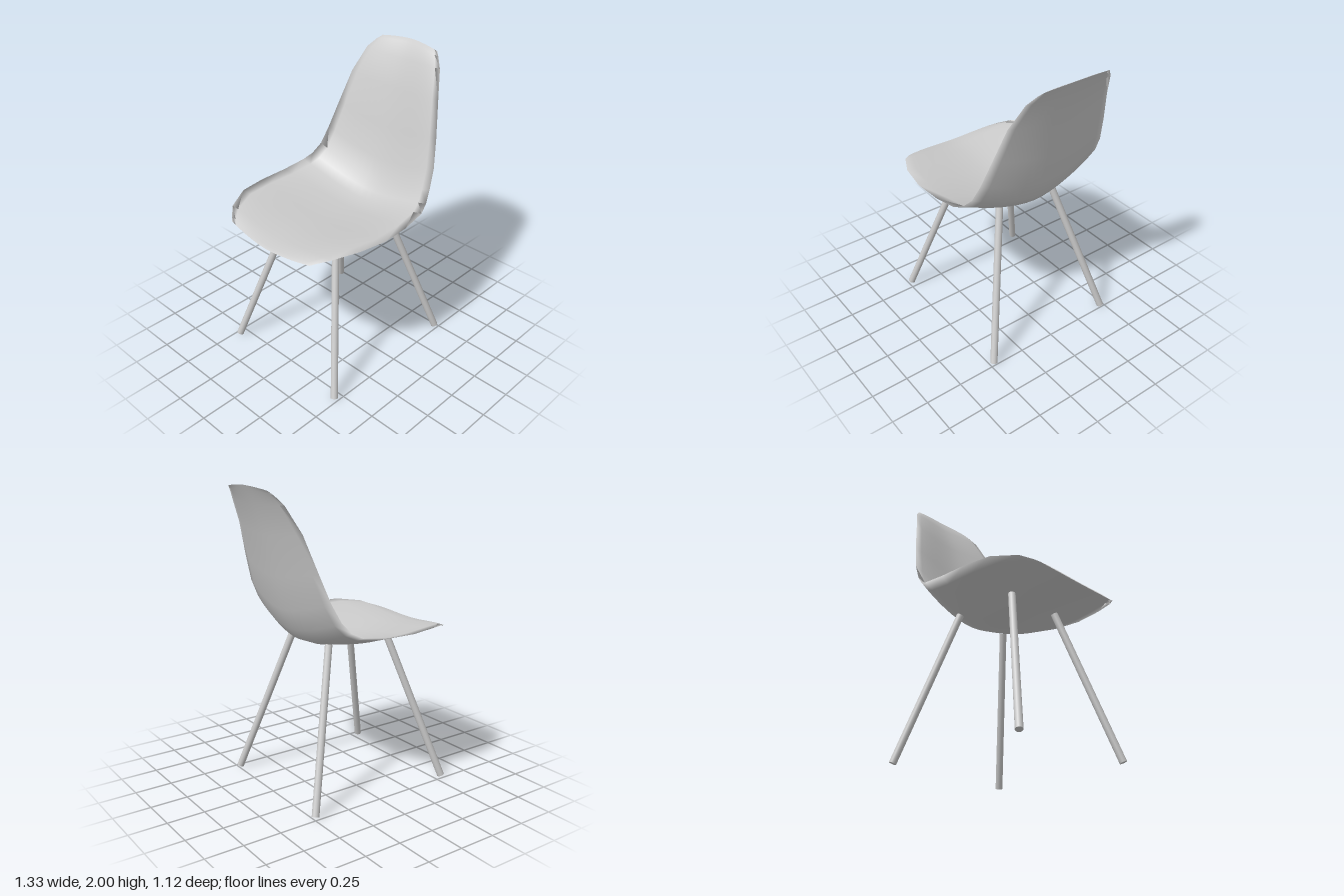
import * as THREE from 'three';

// Shell stations from the front lip, over the seat and up the back:
// [underside centre x, y, rim x, y, rim half-width, thickness]
const STATIONS = [
  [-0.667, 1.0, -0.635, 1.03, 0.355, 0],
  [-0.655, 0.994, -0.61, 1.045, 0.385, 0.022],
  [-0.55, 0.995, -0.55, 1.07, 0.45, 0.03],
  [-0.38, 0.997, -0.39, 1.09, 0.53, 0.03],
  [-0.2, 0.977, -0.2, 1.085, 0.56, 0.03],
  [0.07, 0.955, 0.0, 1.09, 0.554, 0.03],
  [0.2, 0.972, 0.17, 1.112, 0.537, 0.03],
  [0.29, 1.008, 0.24, 1.145, 0.515, 0.03],
  [0.355, 1.085, 0.3, 1.21, 0.49, 0.03],
  [0.415, 1.22, 0.36, 1.33, 0.468, 0.03],
  [0.475, 1.44, 0.42, 1.51, 0.427, 0.03],
  [0.54, 1.7, 0.49, 1.735, 0.37, 0.03],
  [0.605, 1.88, 0.57, 1.9, 0.308, 0.026],
  [0.65, 1.975, 0.61, 1.955, 0.26, 0.018],
  [0.662, 2.0, 0.635, 1.98, 0.23, 0],
];

function shellGeometry() {
  const n = 16, ring = 2 * n, positions = [], index = [];
  STATIONS.forEach(([cx, cy, ex, ey, w, t], i) => {
    // Direction from the underside to the sitting face
    const p = STATIONS[Math.max(i - 1, 0)];
    const q = STATIONS[Math.min(i + 1, STATIONS.length - 1)];
    const dx = q[0] - p[0], dy = q[1] - p[1], len = Math.hypot(dx, dy);
    // Closed section: sitting face one way, underside back again
    for (let k = 0; k < ring; k++) {
      const u = k <= n ? (2 * k) / n - 1 : 3 - (2 * k) / n;
      const blend = Math.abs(u) ** 1.7;
      const lift = k < n ? t * (1 - u ** 4) : 0;
      positions.push(
        cx + (ex - cx) * blend - (dy / len) * lift,
        cy + (ey - cy) * blend + (dx / len) * lift,
        w * u - 0.004,
      );
      if (i < STATIONS.length - 1) {
        const a = i * ring + k, b = i * ring + ((k + 1) % ring);
        index.push(a, b, a + ring, b, b + ring, a + ring);
      }
    }
  });
  const g = new THREE.BufferGeometry();
  g.setAttribute('position', new THREE.Float32BufferAttribute(positions, 3));
  g.setIndex(index);
  g.computeVertexNormals();
  return g;
}

// Round bar between two points
function bar(from, to, radius, material) {
  const dir = to.clone().sub(from);
  const mesh = new THREE.Mesh(new THREE.CylinderGeometry(radius, radius, dir.length(), 12), material);
  mesh.position.copy(from).add(to).multiplyScalar(0.5);
  mesh.quaternion.setFromUnitVectors(new THREE.Vector3(0, 1, 0), dir.normalize());
  return mesh;
}

export function createModel() {
  const group = new THREE.Group();
  const material = new THREE.MeshStandardMaterial({ color: 0xcccccc, side: THREE.DoubleSide });

  // One-piece seat and back
  const shell = new THREE.Mesh(shellGeometry(), material);
  shell.name = 'seatShell';
  group.add(shell);

  // Splayed legs
  for (const [name, topX, footX] of [['frontLeg', -0.268, -0.557], ['backLeg', 0.195, 0.482]]) {
    for (const side of [-1, 1]) {
      const leg = bar(
        new THREE.Vector3(footX, 0.007, side * 0.472),
        new THREE.Vector3(topX, 1.0, side * 0.207),
        0.024, material,
      );
      leg.name = name;
      group.add(leg);
    }
  }
  return group;
}
